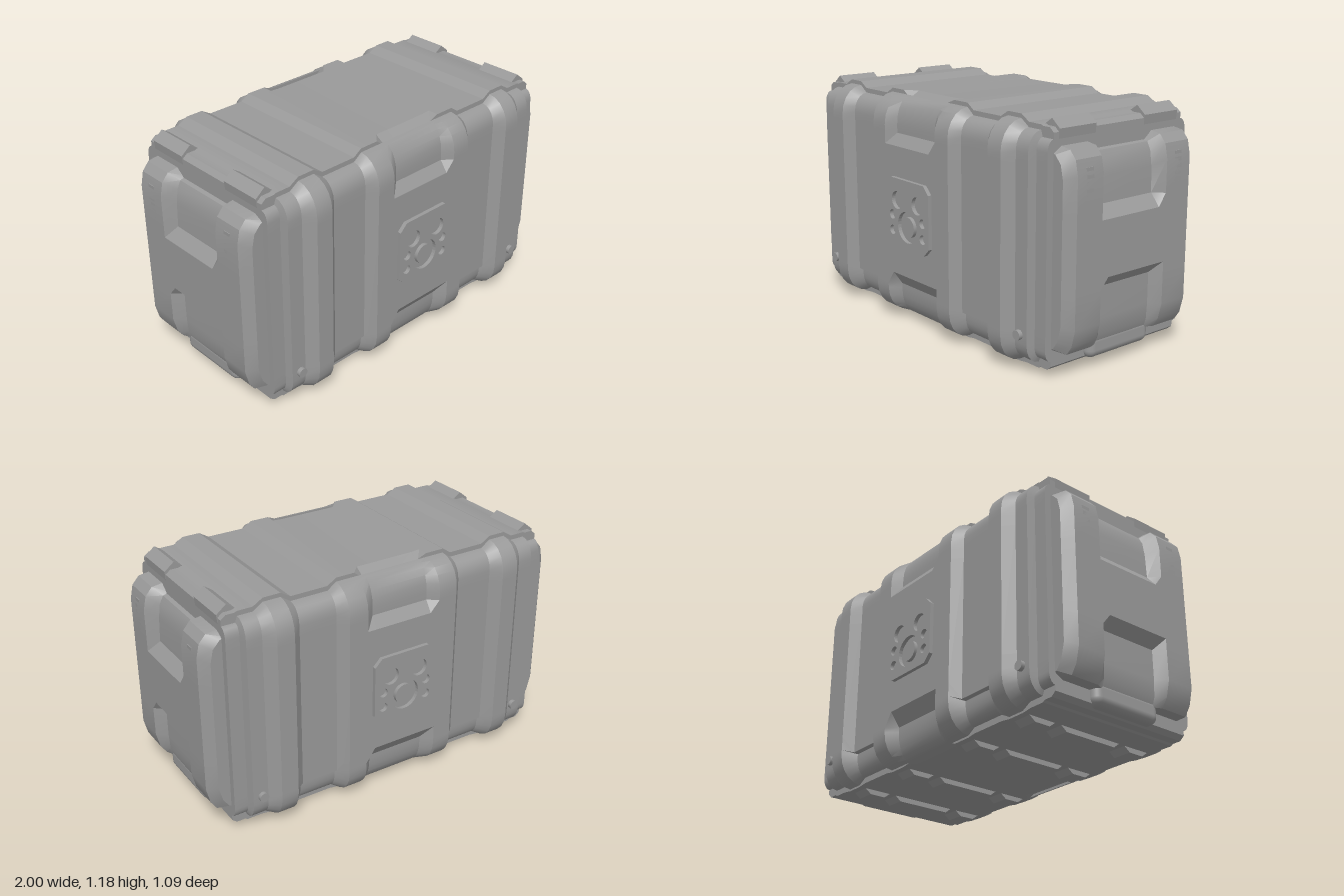
import * as THREE from 'three';
import { toCreasedNormals } from 'three/addons/utils/BufferGeometryUtils.js';
import { RoundedBoxGeometry } from 'three/addons/geometries/RoundedBoxGeometry.js';

// Skin a list of closed rings (arrays of [x, y, z]) and close both ends.
function loft(rings) {
  const out = [];
  const tri = (...pts) => pts.forEach((p) => out.push(...p));
  const n = rings[0].length;
  for (let i = 0; i < rings.length - 1; i++) {
    for (let j = 0; j < n; j++) {
      const k = (j + 1) % n;
      const a = rings[i][j], b = rings[i][k], c = rings[i + 1][k], d = rings[i + 1][j];
      tri(a, d, c);
      tri(a, c, b);
    }
  }
  const centre = (r) => [0, 1, 2].map((i) => r.reduce((s, p) => s + p[i], 0) / n);
  const first = rings[0], last = rings[rings.length - 1];
  for (let j = 0; j < n; j++) {
    const k = (j + 1) % n;
    tri(centre(first), first[j], first[k]);
    tri(centre(last), last[k], last[j]);
  }
  const g = new THREE.BufferGeometry();
  g.setAttribute('position', new THREE.Float32BufferAttribute(out, 3));
  return toCreasedNormals(g, 0.5);
}

// Cross-section of the crate at x: rounded corners, raised lid and floor strips, optional recesses.
const EDGE = 0.405;
function bodyRing(x, s) {
  const { z, low = 0, y1 = 0.2, y2 = 0.27, high = 0, top, bottom, dip = 0 } = s;
  const inset = 0.525 - z;
  const yb = 0.035 + inset * 0.6, yt = 1.165 - inset * 0.75, ry = z - 0.385;
  const half = [[0.35, bottom], [EDGE, bottom + dip / 2]];
  for (let i = 0; i <= 5; i++) {
    const a = (i / 5) * Math.PI / 2;
    half.push([EDGE + (z - low - EDGE) * Math.sin(a), yb + ry * (1 - Math.cos(a))]);
  }
  half.push([z - low, y1], [z, y2], [z, 0.93], [z - high, 0.985]);
  for (let i = 5; i >= 0; i--) {
    const a = (i / 5) * Math.PI / 2;
    half.push([EDGE + (z - high - EDGE) * Math.sin(a), yt - ry * (1 - Math.cos(a))]);
  }
  half.push([EDGE, top - dip], [0.35, top]);
  const back = half.map(([pz, y]) => [-pz, y]).reverse();
  return half.concat(back).map(([pz, y]) => [x, y, pz]);
}

function bodyGeometry() {
  const notch = { z: 0.525, low: 0.05, high: 0.04, top: 1.182, bottom: 0.03, dip: 0.035 };
  const ridge = { z: 0.525, top: 1.185, bottom: 0.025 };
  const groove = { z: 0.48, low: 0.022, y1: 0.178, y2: 0.183, top: 1.155, bottom: 0.032 };
  const band = { z: 0.48, top: 1.155, bottom: 0.032 };
  const rim = { z: 0.44, top: 1.15, bottom: 0.04 };
  const rimEnd = { z: 0.44, top: 1.13, bottom: 0.06 };
  const stations = [
    [0.155, notch], [0.205, ridge], [0.305, ridge], [0.35, groove], [0.545, groove],
    [0.595, ridge], [0.685, ridge], [0.735, band], [0.815, band], [0.825, rim],
    [0.87, rim], [0.895, rimEnd],
  ];
  const left = stations.map(([x, s]) => bodyRing(x, s));
  const right = stations.map(([x, s]) => bodyRing(-x, s)).reverse();
  return loft(right.concat(left));
}

// End panel: two bevelled rails joined across the middle, recessed above and below.
function endPanelGeometry() {
  const ys = [0.12, 0.125, 0.17, 0.25, 0.405, 0.46, 0.73, 0.79, 0.95, 1.02, 1.06, 1.07];
  const full = [0.88, 0.95, 0.98, 1, 1, 1, 1, 1, 1, 0.985, 0.95, 0.88];
  const recess = [0.88, 0.93, 0.945, 0.95, 0.95, 1, 1, 0.95, 0.945, 0.935, 0.915, 0.88];
  const side = full.map((x) => Math.max(0.88, x - 0.045));
  const ring = (z, xs, squeeze = 1, drop = 0) =>
    xs.map((x, i) => [x, 0.595 + (ys[i] - 0.595) * squeeze - (i > 7 ? drop : 0), z]);
  const half = [
    ring(EDGE, side, 0.95), ring(0.36, full), ring(0.205, full), ring(0.16, recess, 1, 0.035),
  ];
  const mirror = half.map((r) => r.map(([x, y, z]) => [x, y, -z])).reverse();
  return loft(half.concat(mirror));
}

// Extrude a polygon of [x, y] points along z, starting at z0.
function prism(points, depth, z0) {
  const shape = new THREE.Shape(points.map((p) => new THREE.Vector2(...p)));
  return new THREE.ExtrudeGeometry(shape, { depth, bevelEnabled: false }).translate(0, 0, z0);
}

// Emblem-free badge plate with round sockets.
function badgeGeometry() {
  const w = 0.175, h = 0.175, c = 0.04;
  const shape = new THREE.Shape([
    [-w + c, -h], [w - c, -h], [w, -h + c], [w, h - c],
    [w - c, h], [-w + c, h], [-w, h - c], [-w, -h + c],
  ].map((p) => new THREE.Vector2(...p)));
  const holes = [[0, -0.06, 0.08]];
  for (const s of [-1, 1]) {
    holes.push([s * 0.083, 0.065, 0.045], [s * 0.125, -0.015, 0.024], [s * 0.125, -0.095, 0.024]);
  }
  for (const [x, y, r] of holes) shape.holes.push(new THREE.Path().absarc(x, y, r, 0, Math.PI * 2, true));
  return new THREE.ExtrudeGeometry(shape, { depth: 0.025, bevelEnabled: false, curveSegments: 16 });
}

export function createModel() {
  const model = new THREE.Group();
  model.name = 'crate';
  const grey = new THREE.MeshStandardMaterial({ color: 0x999999 });
  grey.name = 'grey metal';
  const add = (parent, name, geometry, x = 0, y = 0, z = 0) => {
    const mesh = new THREE.Mesh(geometry, grey);
    mesh.name = name;
    mesh.position.set(x, y, z);
    parent.add(mesh);
    return mesh;
  };

  add(model, 'body', bodyGeometry());

  // Tapered feet under each ridge
  for (const x of [-0.64, -0.255, 0.255, 0.64]) {
    for (const [z, w] of [[-0.295, 0.1], [0, 0.2], [0.295, 0.1]]) {
      const t = w / 2 + (w > 0.1 ? 0.05 : 0.045), b = w > 0.1 ? 0.15 : 0.042;
      const foot = add(model, 'foot', prism([[-b, 0], [b, 0], [t + 0.05 * (w > 0.1), 0.04], [-t - 0.05 * (w > 0.1), 0.04]], 0.1, -0.05), x, 0, z);
      foot.rotation.y = Math.PI / 2;
    }
  }

  // Front and back: badge and rivets
  const badge = badgeGeometry();
  const hub = new THREE.CylinderGeometry(0.052, 0.052, 0.02, 32).rotateX(Math.PI / 2);
  const rivet = new THREE.CylinderGeometry(0.024, 0.024, 0.05, 16).rotateX(Math.PI / 2);
  for (const turn of [0, Math.PI]) {
    const face = new THREE.Group();
    face.name = turn ? 'backDetails' : 'frontDetails';
    face.rotation.y = turn;
    add(face, 'badgePlate', badge, 0, 0.6, 0.52);
    add(face, 'badgeHub', hub, 0, 0.54, 0.533);
    for (const x of [-0.765, 0.765]) add(face, 'rivet', rivet, x, 0.197, 0.475);
    model.add(face);
  }

  // Both ends: panel, vents, lower bar and top lugs
  const panel = endPanelGeometry();
  const bar = new RoundedBoxGeometry(0.1, 0.12, 0.4, 4, 0.04);
  const slat = new THREE.BoxGeometry(0.03, 0.019, 0.042);
  const lug = prism([[0.8, 1.1], [0.895, 1.1], [0.9, 1.145], [0.85, 1.185], [0.8, 1.15]], 0.22, -0.11);
  for (const turn of [0, Math.PI]) {
    const end = new THREE.Group();
    end.name = turn ? 'rightEnd' : 'leftEnd';
    end.rotation.y = turn;
    add(end, 'endPanel', panel);
    add(end, 'lowerBar', bar, 0.885, 0.107, 0);
    for (const s of [-1, 1]) {
      add(end, 'topLug', lug, 0, 0, s * 0.265);
      for (let i = 0; i < 12; i++) {
        const y = 0.63 + i * 0.031;
        add(end, 'ventSlat', slat, y > 0.95 ? 0.982 : 0.985, y, s * 0.283);
      }
    }
    model.add(end);
  }
  return model;
}
